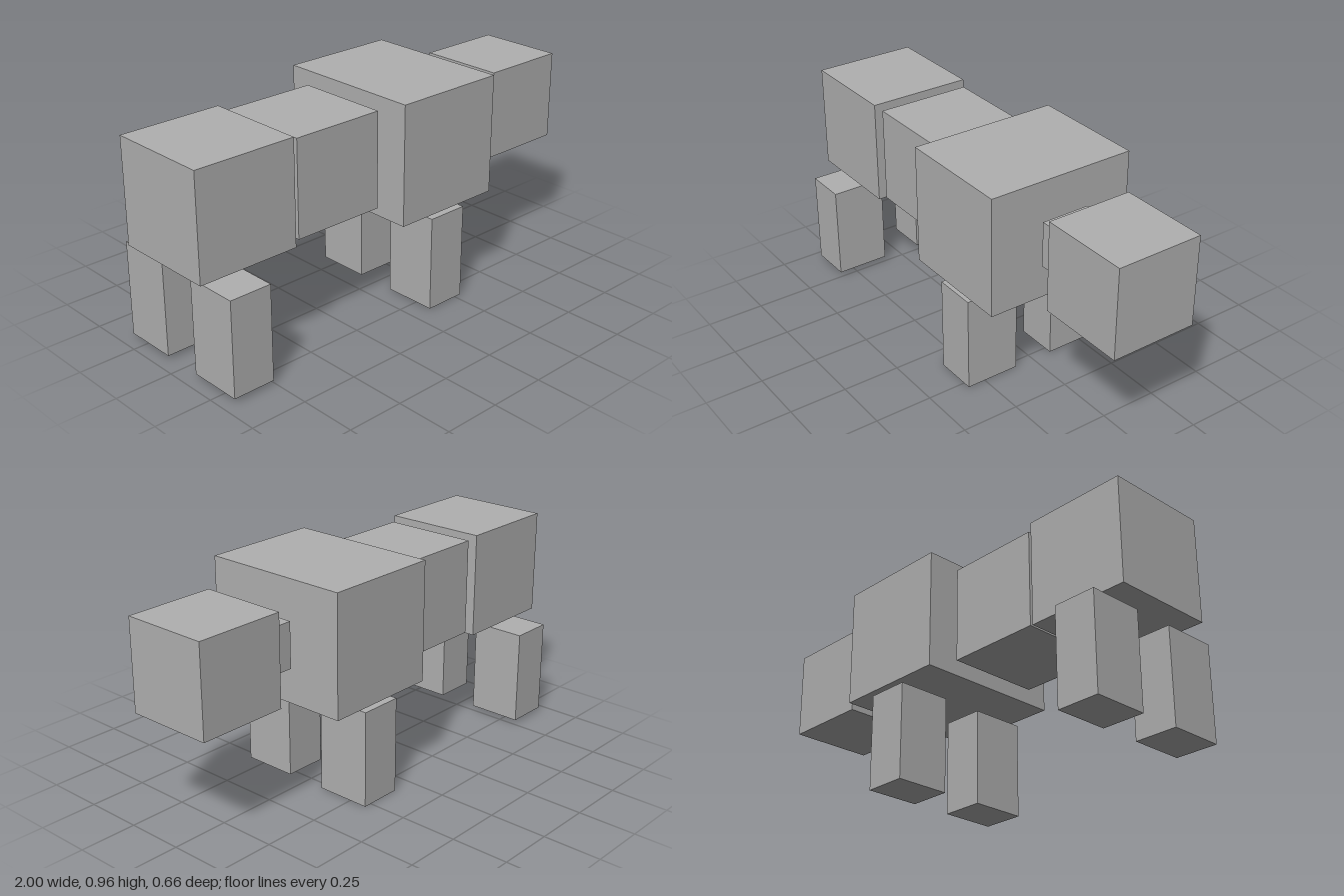
import * as THREE from 'three';

export function createModel() {
  const model = new THREE.Group();
  const grey = new THREE.MeshStandardMaterial({ color: 0xb0b0b0 });
  grey.name = 'grey';

  // Box from its x and y limits, its depth and its z centre
  function addBlock(name, x0, x1, y0, y1, depth, z = 0) {
    const mesh = new THREE.Mesh(new THREE.BoxGeometry(x1 - x0, y1 - y0, depth), grey);
    mesh.name = name;
    mesh.position.set((x0 + x1) / 2, (y0 + y1) / 2, z);
    model.add(mesh);
  }

  // Body blocks in a row along x, from hips to head
  addBlock('hips', -1, -0.545, 0.472, 0.926, 0.455);
  addBlock('waist', -0.515, -0.096, 0.488, 0.907, 0.416);
  addBlock('chest', -0.069, 0.445, 0.438, 0.957, 0.66);
  addBlock('neck', 0.469, 0.585, 0.6, 0.796, 0.216);
  addBlock('head', 0.608, 1, 0.503, 0.893, 0.38);

  // Leg pairs, mirrored across z
  for (const [side, z] of [['Near', 0.21], ['Far', -0.21]]) {
    addBlock('frontLeg' + side, 0.097, 0.284, 0, 0.417, 0.24, z);
    addBlock('hindLeg' + side, -0.946, -0.758, 0.018, 0.433, 0.24, z);
  }
  return model;
}
